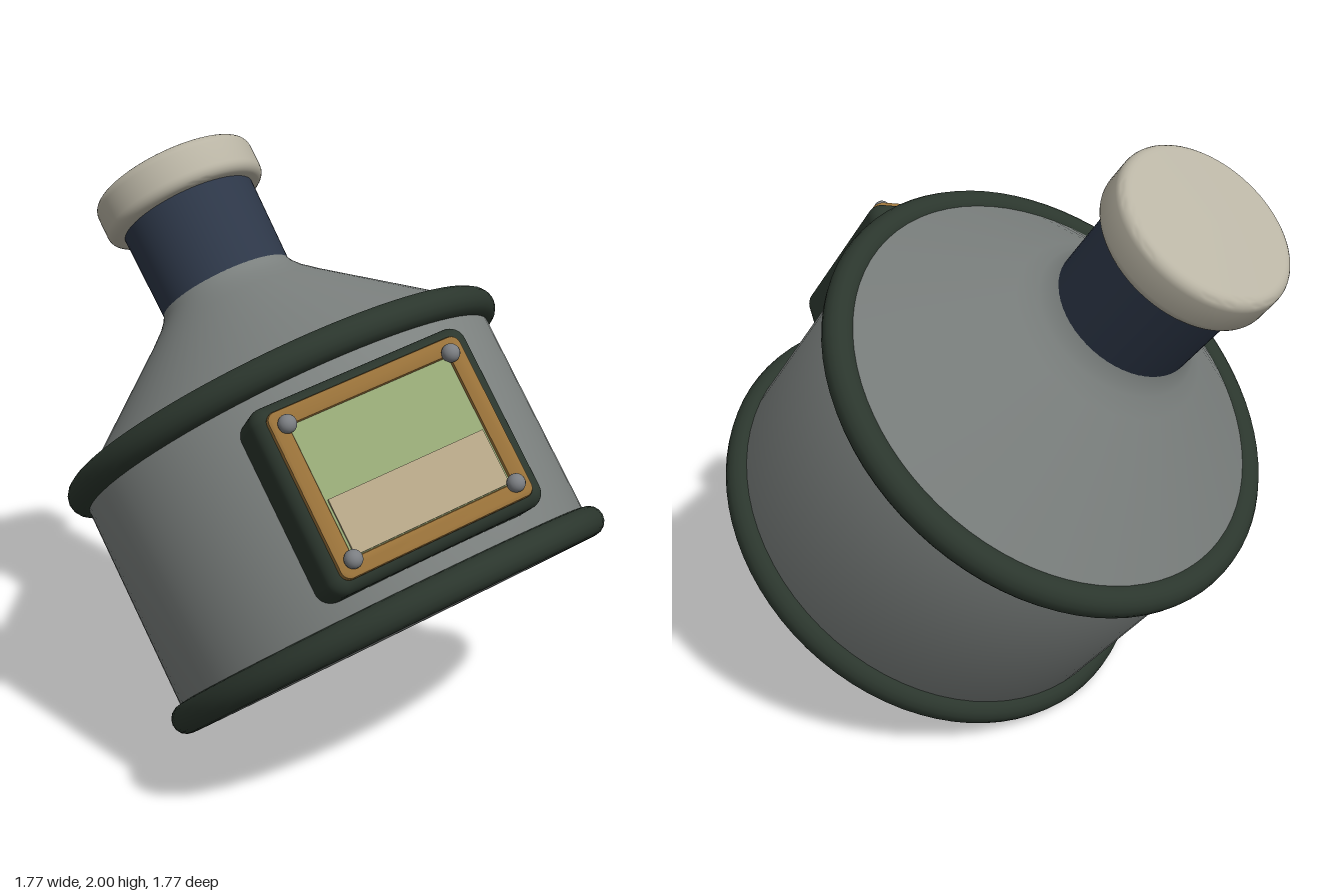
import * as THREE from 'three';
import { toCreasedNormals } from 'three/addons/utils/BufferGeometryUtils.js';
import { RoundedBoxGeometry } from 'three/addons/geometries/RoundedBoxGeometry.js';

const mat = (name, color) => {
  const m = new THREE.MeshStandardMaterial({ color });
  m.name = name;
  return m;
};

// Rectangle with rounded corners, centred on the origin
function roundedRect(Type, hw, hh, r) {
  const s = new Type();
  s.absarc(hw - r, hh - r, r, 0, Math.PI / 2);
  s.absarc(-hw + r, hh - r, r, Math.PI / 2, Math.PI);
  s.absarc(-hw + r, -hh + r, r, Math.PI, Math.PI * 1.5);
  s.absarc(hw - r, -hh + r, r, Math.PI * 1.5, Math.PI * 2);
  s.closePath();
  return s;
}

function lathe(points) {
  const geo = new THREE.LatheGeometry(points.map(([r, y]) => new THREE.Vector2(r, y)), 72);
  return toCreasedNormals(geo, 0.55);
}

// Disc with rounded top and bottom edges
function roundedDisc(radius, y0, y1, r) {
  const pts = [[0, y0]];
  for (let i = 0; i <= 6; i++) {
    const a = -Math.PI / 2 + (i / 6) * Math.PI / 2;
    pts.push([radius - r + Math.cos(a) * r, y0 + r + Math.sin(a) * r]);
  }
  for (let i = 0; i <= 6; i++) {
    const a = (i / 6) * Math.PI / 2;
    pts.push([radius - r + Math.cos(a) * r, y1 - r + Math.sin(a) * r]);
  }
  pts.push([0, y1]);
  return lathe(pts);
}

export function createModel() {
  const metal = mat('grey metal', 0x7c817f);
  const rubber = mat('dark green rubber', 0x2b362d);
  const navy = mat('navy neck', 0x2d3748);
  const ivory = mat('ivory cap', 0xb9b4a4);
  const brass = mat('brass frame', 0x987139);
  const green = mat('pale green panel', 0x96a976);
  const tan = mat('tan panel', 0xb5a686);
  const steel = mat('steel rivet', 0x7b7e82);

  const model = new THREE.Group();
  model.name = 'tiltedFlask';
  const flask = new THREE.Group();
  flask.name = 'flask';
  model.add(flask);

  const add = (name, geo, material, x = 0, y = 0, z = 0) => {
    const mesh = new THREE.Mesh(geo, material);
    mesh.name = name;
    mesh.position.set(x, y, z);
    flask.add(mesh);
    return mesh;
  };

  // Body with bevelled base and conical shoulder
  add('body', lathe([
    [0, -0.05], [0.675, -0.05], [0.705, -0.042], [0.725, -0.022], [0.735, 0],
    [0.735, 0.79], [0.725, 0.815], [0.7, 0.838],
    [0.32, 1.15], [0.27, 1.195], [0.245, 1.225], [0.232, 1.25],
  ]), metal);

  // Bumper rings around the base and the shoulder
  for (const [name, y] of [['baseRing', 0], ['shoulderRing', 0.796]]) {
    const geo = new THREE.TorusGeometry(0.735, 0.05, 16, 80);
    geo.rotateX(Math.PI / 2);
    add(name, geo, rubber, 0, y);
  }

  // Neck and cap
  add('neck', new THREE.CylinderGeometry(0.24, 0.233, 0.37, 56), navy, 0, 1.415);
  add('cap', roundedDisc(0.288, 1.545, 1.69, 0.035), ivory);

  // Gauge housing set into the front of the body
  const gy = 0.395;
  add('gaugeHousing', new RoundedBoxGeometry(0.72, 0.59, 0.27, 5, 0.05), rubber, 0, gy, 0.685);

  // Frame around the gauge window
  const frame = roundedRect(THREE.Shape, 0.31, 0.252, 0.02);
  frame.holes.push(roundedRect(THREE.Path, 0.275, 0.217, 0.01));
  add('gaugeFrame', toCreasedNormals(new THREE.ExtrudeGeometry(frame, {
    depth: 0.025, bevelThickness: 0.01, bevelSize: 0.01, bevelSegments: 2, curveSegments: 4,
  }), 0.5), brass, 0, gy, 0.802);

  // Window: green field with a tan plate along the lower half
  add('gaugeWindow', new THREE.BoxGeometry(0.56, 0.444, 0.02), green, 0, gy, 0.815);
  add('gaugePlate', new THREE.BoxGeometry(0.515, 0.175, 0.009), tan, 0, gy - 0.117, 0.8295);

  // Rivets at the frame corners
  for (const sx of [-1, 1]) for (const sy of [-1, 1]) {
    add('rivet', new THREE.SphereGeometry(0.028, 18, 12), steel, sx * 0.271, gy + sy * 0.212, 0.845);
  }

  // Tilt the whole flask, resting on the edge of its base ring
  const up = new THREE.Vector3(-0.49, 0.79, -0.367).normalize();
  const side = new THREE.Vector3(0.806, 0.255, -0.535);
  side.addScaledVector(up, -side.dot(up)).normalize();
  const front = new THREE.Vector3().crossVectors(side, up);
  flask.quaternion.setFromRotationMatrix(new THREE.Matrix4().makeBasis(side, up, front));
  flask.position.set(0.192, 0.5, 0.137);
  return model;
}
